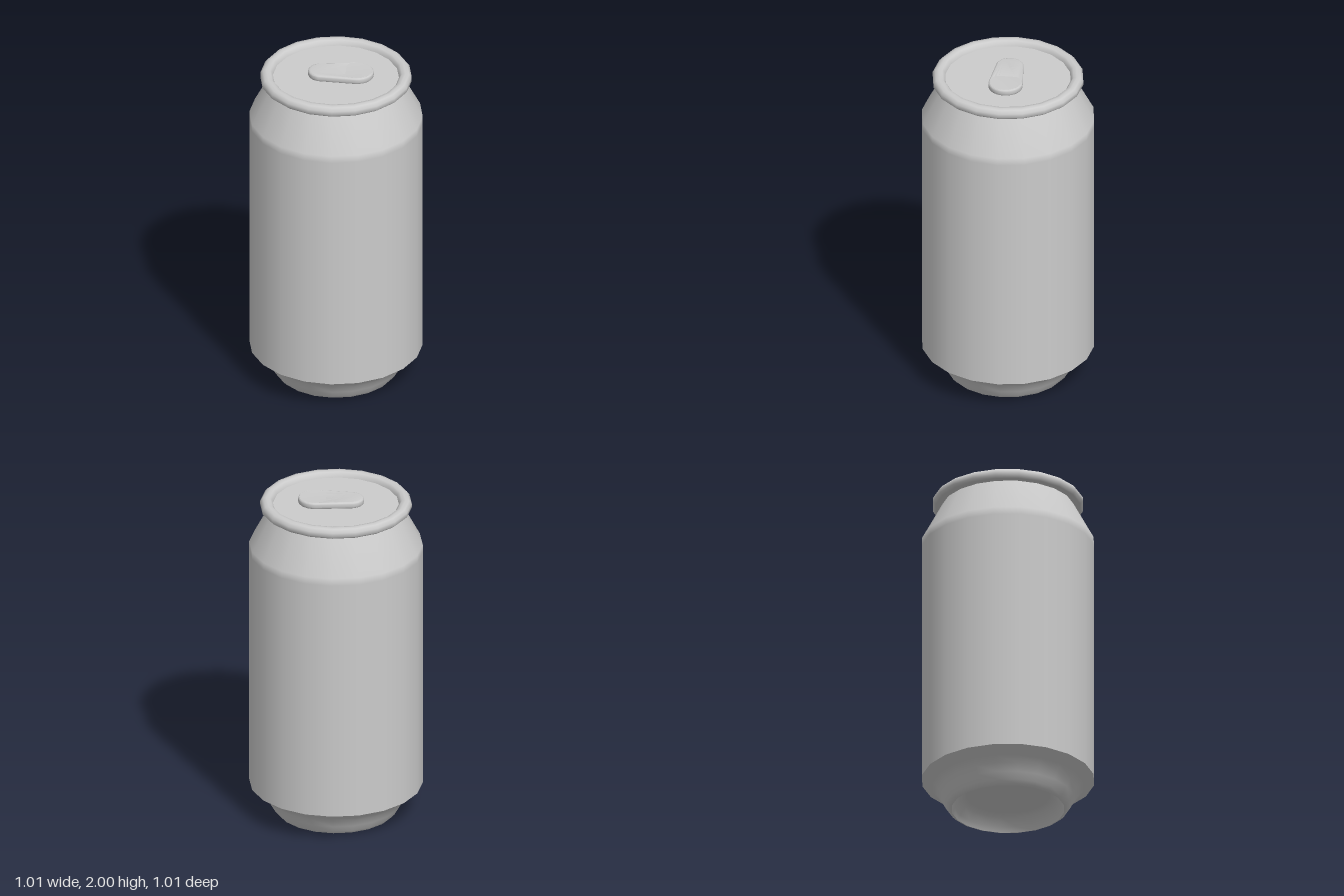
import * as THREE from 'three';
import { toCreasedNormals } from 'three/addons/utils/BufferGeometryUtils.js';

const SIDES = 20;
const material = new THREE.MeshStandardMaterial({ color: 0xcccccc });

function addMesh(group, name, geometry) {
  const mesh = new THREE.Mesh(geometry, material);
  mesh.name = name;
  group.add(mesh);
  return mesh;
}

// Revolves [radius, height] pairs around the can's axis
function turned(group, name, profile) {
  const points = profile.map(([r, y]) => new THREE.Vector2(r, y));
  return addMesh(group, name, new THREE.LatheGeometry(points, SIDES));
}

// Pull tab: tapered plate, wide finger ring at +x, half-round slot at -x
function tabGeometry() {
  const cx0 = -0.083, r0 = 0.08, cx1 = 0.12, r1 = 0.1;
  const a = Math.acos((r0 - r1) / (cx1 - cx0)); // tangent angle joining the two ends
  const shape = new THREE.Shape();
  shape.absarc(cx1, 0, r1, -a, a, false);
  shape.absarc(cx0, 0, r0, a, 2 * Math.PI - a, false);

  const ring = new THREE.Path();
  ring.moveTo(0.12, -0.08);
  ring.absarc(0.12, 0, 0.08, -Math.PI / 2, Math.PI / 2, false);
  ring.quadraticCurveTo(0.07, 0.08, 0.07, 0.04);
  ring.lineTo(0.07, -0.04);
  ring.quadraticCurveTo(0.07, -0.08, 0.12, -0.08);

  const slot = new THREE.Path();
  slot.moveTo(-0.087, -0.057);
  slot.absellipse(-0.087, 0, 0.062, 0.057, -Math.PI / 2, Math.PI / 2, false, 0);
  slot.lineTo(-0.087, -0.057);
  shape.holes.push(ring, slot);

  const bevel = 0.012;
  const geometry = new THREE.ExtrudeGeometry(shape, {
    depth: 0.016, bevelEnabled: true, bevelSize: bevel, bevelThickness: bevel,
    bevelOffset: -bevel, bevelSegments: 3, curveSegments: 14,
  });
  geometry.rotateX(-Math.PI / 2);
  return toCreasedNormals(geometry, 0.7);
}

export function createModel() {
  const can = new THREE.Group();
  can.name = 'drinkCan';

  // Hollow underside rising to a shallow dome
  turned(can, 'baseDome', [[0, 0.09], [0.24, 0.087], [0.28, 0.075], [0.315, 0.03], [0.33, 0]]);

  // Foot curving out to the body
  turned(can, 'foot', [
    [0.33, 0], [0.345, 0.006], [0.362, 0.025], [0.385, 0.065],
    [0.41, 0.11], [0.44, 0.14], [0.505, 0.185],
  ]);

  // Straight wall and tapered shoulder
  turned(can, 'body', [[0.505, 0.185], [0.505, 1.66], [0.505, 1.705], [0.385, 1.93]]);

  // Rolled rim
  turned(can, 'rim', [
    [0.383, 1.928], [0.425, 1.926], [0.441, 1.94], [0.441, 1.966], [0.426, 1.984],
    [0.405, 1.988], [0.384, 1.984], [0.371, 1.97], [0.366, 1.95],
  ]);

  // Recessed lid
  turned(can, 'lid', [[0.368, 1.955], [0, 1.955]]);

  const tab = addMesh(can, 'pullTab', tabGeometry());
  tab.position.y = 1.972;

  return can;
}
